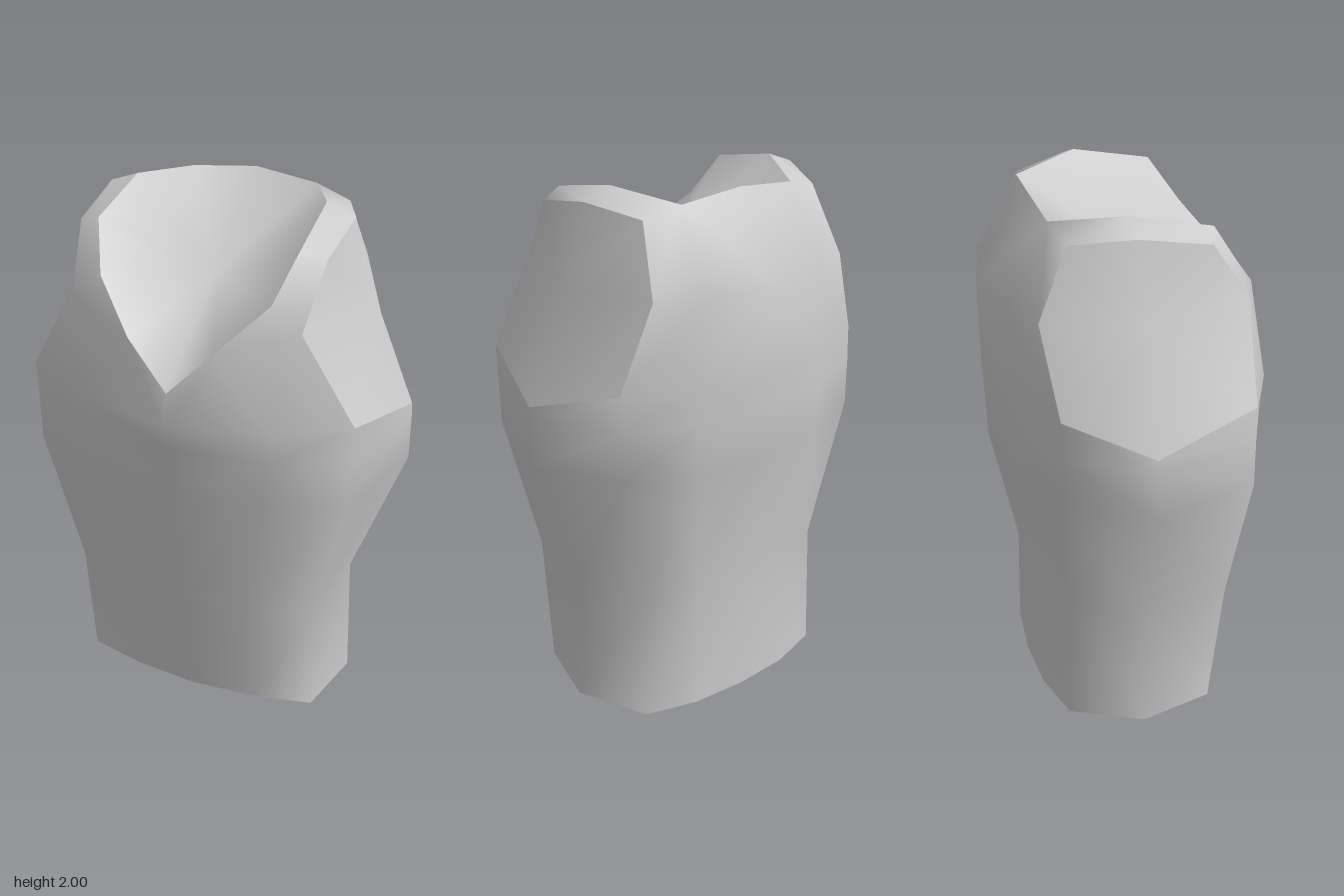
import * as THREE from 'three';
import { mergeVertices } from 'three/addons/utils/BufferGeometryUtils.js';

// Cross-sections of one half, running front centre -> side -> back centre, as [x, y, z]
const ring = (y, ...xz) => xz.map(([x, z]) => [x, y, z]);
const rings = [
  ring(0, [0, 0.30], [0.25, 0.28], [0.48, 0.23], [0.545, -0.05], [0.42, -0.32], [0.22, -0.38], [0, -0.395]),
  ring(0.51, [0, 0.38], [0.25, 0.35], [0.48, 0.28], [0.525, -0.06], [0.41, -0.31], [0.21, -0.37], [0, -0.395]),
  ring(1.06, [0, 0.46], [0.33, 0.42], [0.6, 0.32], [0.715, -0.07], [0.53, -0.355], [0.28, -0.46], [0, -0.505]),
  ring(1.24, [0, 0.475], [0.35, 0.43], [0.605, 0.315], [0.713, -0.07], [0.53, -0.355], [0.28, -0.463], [0, -0.51]),
  // Chest, dipping under the arm
  [[0, 1.35, 0.515], [0.36, 1.35, 0.435], [0.61, 1.375, 0.31], [0.71, 1.29, -0.07],
    [0.53, 1.375, -0.35], [0.28, 1.36, -0.465], [0, 1.36, -0.515]],
];
const chest = rings[4];

// Shoulder points
const vee = [0, 1.47, 0.49], collar = [0.155, 1.63, 0.45], armFront = [0.42, 1.7, 0.335];
const armBack = [0.42, 1.69, -0.39], bladeBack = [0.26, 1.69, -0.465], spine = [0, 1.69, -0.515];
const neckLow = [0.31, 1.78, 0.33], neckFront = [0.365, 1.94, 0.22], neckTop = [0.355, 2, -0.07];
const neckBack = [0.24, 1.965, -0.31], nape = [0, 1.99, -0.325];
const strapFront = [0.45, 1.91, 0.19], strapTop = [0.46, 1.96, -0.07], strapBack = [0.375, 1.93, -0.28];

// Smooth mesh from polygons; mirrored to the other side when asked
function build(name, polygons, sides = [1, -1]) {
  const positions = [];
  for (const side of sides) {
    for (const polygon of polygons) {
      for (let i = 1; i < polygon.length - 1; i++) {
        const tri = [polygon[0], polygon[i], polygon[i + 1]];
        if (side < 0) tri.reverse();
        for (const [x, y, z] of tri) positions.push(x * side + 0, y, z);
      }
    }
  }
  let geometry = new THREE.BufferGeometry();
  geometry.setAttribute('position', new THREE.Float32BufferAttribute(positions, 3));
  geometry = mergeVertices(geometry);
  geometry.computeVertexNormals();
  const mesh = new THREE.Mesh(geometry, new THREE.MeshStandardMaterial({ color: 0xcccccc, side: THREE.DoubleSide }));
  mesh.name = name;
  return mesh;
}

// Triangles from a centre to each edge of a rim
const fan = (centre, rim) => rim.slice(1).map((p, i) => [centre, rim[i], p]);

export function createModel() {
  const group = new THREE.Group();
  group.name = 'sleevelessTorso';

  // Waist and chest walls
  const shell = [];
  for (let r = 0; r < rings.length - 1; r++) {
    for (let c = 0; c < 6; c++) {
      shell.push([rings[r][c], rings[r][c + 1], rings[r + 1][c + 1], rings[r + 1][c]]);
    }
  }
  // Upper chest, strap and upper back
  shell.push(
    [chest[0], chest[1], collar, vee],
    [chest[1], chest[2], armFront, collar],
    [collar, armFront, neckLow],
    [neckLow, armFront, strapFront, neckFront],
    [neckFront, strapFront, strapTop, neckTop],
    [neckTop, strapTop, strapBack, neckBack],
    [neckBack, strapBack, armBack, bladeBack],
    [neckBack, bladeBack, spine, nape],
    [chest[4], chest[5], bladeBack, armBack],
    [chest[5], chest[6], spine, bladeBack],
  );
  group.add(build('torsoShell', shell));

  // Arm openings, closed by a gently ridged panel
  const armRim = [armFront, chest[2], chest[3], chest[4], armBack, strapBack, strapTop, strapFront, armFront];
  const armPanel = fan([0.56, 1.66, -0.06], armRim);
  group.add(build('leftArmPanel', armPanel, [1]), build('rightArmPanel', armPanel, [-1]));

  // Sunken panel of the V-shaped neck
  const neckRim = [vee, collar, neckLow, neckFront, neckTop, neckBack, nape];
  group.add(build('neckPanel', fan([0, 1.72, 0.06], neckRim)));

  // Flat underside
  group.add(build('base', fan([0, 0, -0.05], [...rings[0]].reverse())));
  return group;
}
